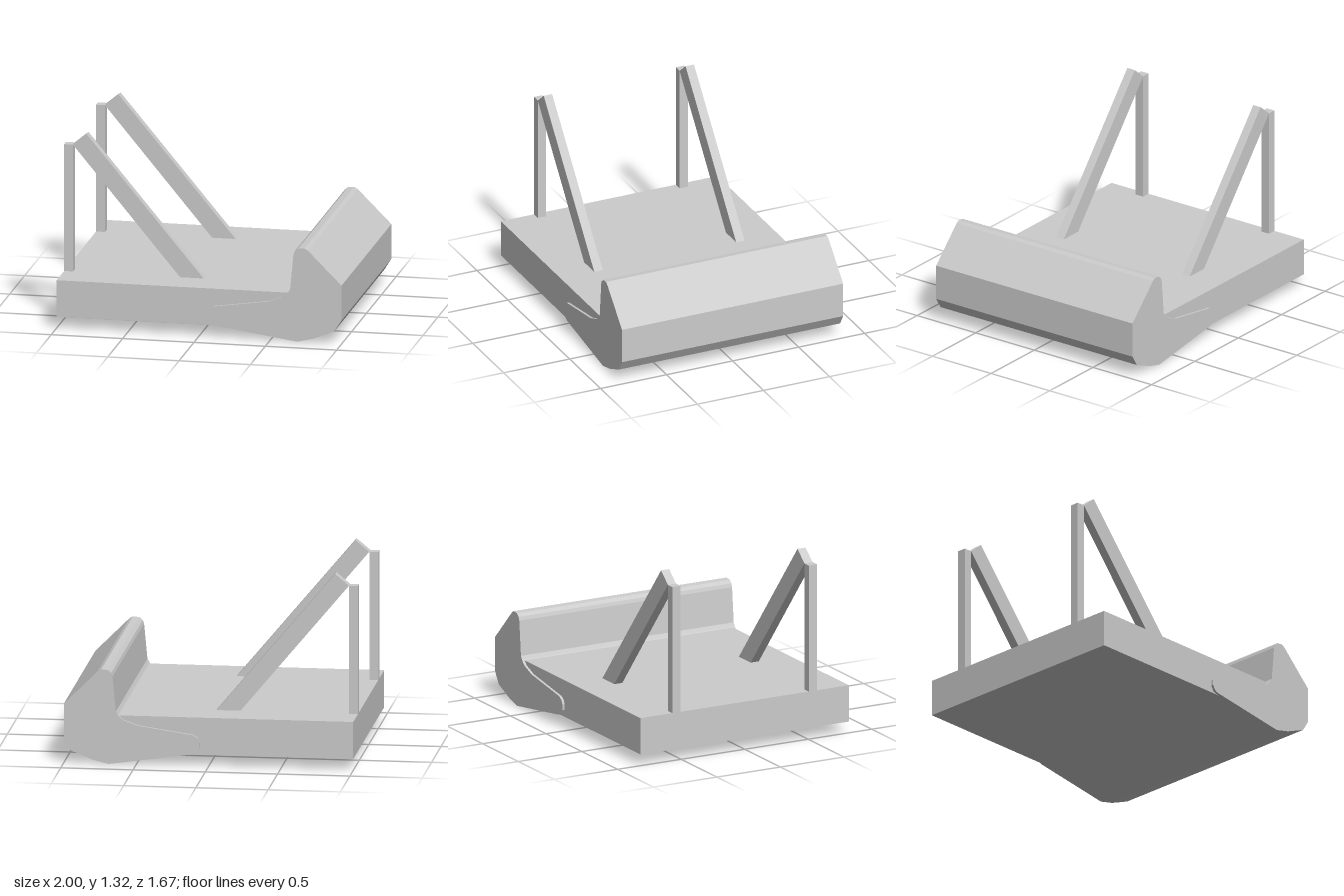
import * as THREE from 'three';

const material = new THREE.MeshStandardMaterial({ color: 0xcccccc, flatShading: true });

// Extrudes an x-y profile along z, centred on the given z
function slab(name, points, width, z = 0) {
  const shape = new THREE.Shape(points.map(([x, y]) => new THREE.Vector2(x, y)));
  const geometry = new THREE.ExtrudeGeometry(shape, { depth: width, bevelEnabled: false });
  geometry.translate(0, 0, z - width / 2);
  const mesh = new THREE.Mesh(geometry, material);
  mesh.name = name;
  return mesh;
}

export function createModel() {
  const model = new THREE.Group();
  model.name = 'ploughBase';

  // Flat deck, its front end buried in the nose
  model.add(slab('deck', [[-1, 0.085], [0.64, 0.085], [0.64, 0.345], [-1, 0.345]], 1.64));

  // Faceted nose with an upturned lip and a tapering tail along the deck sides
  model.add(slab('nose', [
    [0.69, 0.005], [0.8, 0.032], [0.95, 0.093], [1, 0.172], [1, 0.42],
    [0.79, 0.63], [0.765, 0.655], [0.74, 0.67], [0.695, 0.665], [0.672, 0.645], [0.663, 0.62],
    [0.64, 0.375], [0.625, 0.35], [0.59, 0.317], [0.49, 0.28],
    [0.105, 0.223], [0.075, 0.205], [0.06, 0.175], [0.06, 0.135], [0.08, 0.102], [0.11, 0.089],
  ], 1.675));

  // Upright post and sloping brace on each side
  for (const side of [-1, 1]) {
    const frame = new THREE.Group();
    frame.name = side > 0 ? 'frontFrame' : 'backFrame';
    const z = side * 0.537;
    frame.add(
      slab('post', [[-1, 0.34], [-0.938, 0.34], [-0.938, 1.245], [-1, 1.245]], 0.064, z),
      slab('brace', [[-0.183, 0.34], [-0.018, 0.34], [-0.842, 1.325], [-0.938, 1.245]], 0.064, z),
    );
    model.add(frame);
  }
  return model;
}
